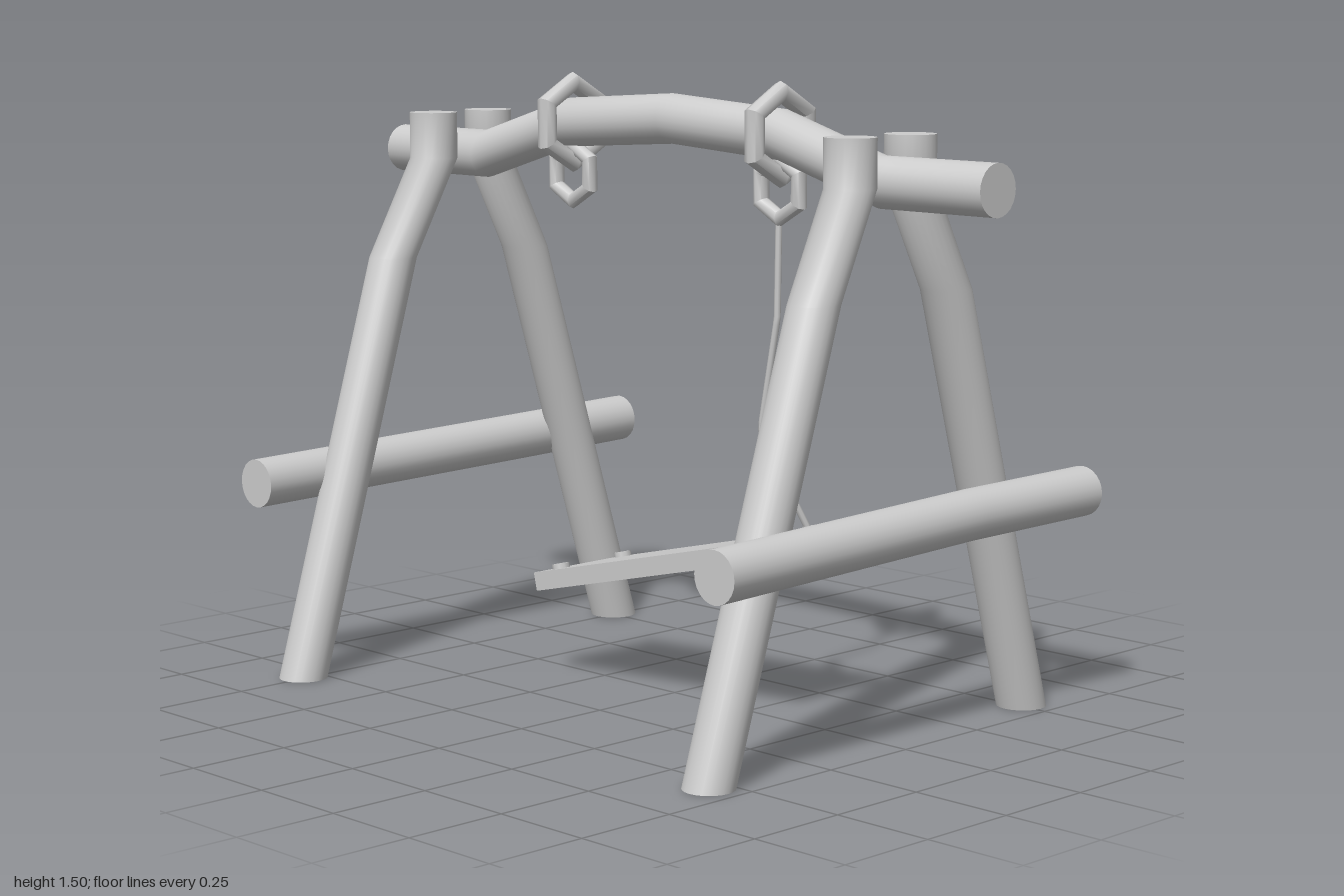
import * as THREE from 'three';
import { toCreasedNormals } from 'three/addons/utils/BufferGeometryUtils.js';

const material = new THREE.MeshStandardMaterial({ color: 0xcccccc });
const RADIUS = 0.06;

function addMesh(parent, name, geometry, x = 0, y = 0, z = 0) {
  const mesh = new THREE.Mesh(geometry, material);
  mesh.name = name;
  mesh.position.set(x, y, z);
  parent.add(mesh);
  return mesh;
}

// Bent log: a cylinder whose rings, all square to one axis, are moved onto the given points.
function logGeometry(axis, points) {
  const rows = points.length - 1;
  const geo = new THREE.CylinderGeometry(RADIUS, RADIUS, rows, 24, rows);
  if (axis === 'x') geo.rotateZ(-Math.PI / 2);
  if (axis === 'z') geo.rotateX(Math.PI / 2);
  const pos = geo.attributes.position;
  const v = new THREE.Vector3();
  for (let i = 0; i < pos.count; i++) {
    v.fromBufferAttribute(pos, i);
    const [x, y, z] = points[Math.round(v[axis] + rows / 2)];
    v[axis] = 0;
    pos.setXYZ(i, v.x + x, v.y + y, v.z + z);
  }
  return toCreasedNormals(geo, 0.7);
}

// Thin rope following straight runs between points.
function ropeGeometry(points) {
  const path = new THREE.CurvePath();
  const pts = points.map((p) => new THREE.Vector3(...p));
  for (let i = 1; i < pts.length; i++) path.add(new THREE.LineCurve3(pts[i - 1], pts[i]));
  return new THREE.TubeGeometry(path, 30, 0.008, 8);
}

function hexRing(radius, tube) {
  const geo = new THREE.TorusGeometry(radius, tube, 8, 6);
  geo.rotateZ(Math.PI / 2);
  return toCreasedNormals(geo, 0.9);
}

export function createModel() {
  const model = new THREE.Group();
  model.name = 'swing';

  // Top beam, arched in the middle
  addMesh(model, 'topBeam', logGeometry('x', [
    [-1, 1.285, 0], [-0.67, 1.285, 0], [-0.36, 1.377, 0], [0, 1.4, 0],
    [0.36, 1.377, 0], [0.67, 1.285, 0], [1, 1.285, 0],
  ]), 0, 0, 0.005);

  // Mirrored end frames: two bent legs and a cross log outside them
  for (const s of [-1, 1]) {
    const frame = new THREE.Group();
    frame.name = s > 0 ? 'leftFrame' : 'rightFrame';
    frame.position.x = -0.0475;
    model.add(frame);
    const side = (points) => points.map(([x, y, z]) => [s * x, y, z]);
    addMesh(frame, 'frontLeg', logGeometry('y', side([
      [0.715, 0, 0.55], [0.725, 1.03, 0.237], [0.713, 1.275, 0.11], [0.713, 1.39, 0.11],
    ])));
    addMesh(frame, 'backLeg', logGeometry('y', side([
      [0.715, 0, -0.512], [0.725, 1.03, -0.205], [0.722, 1.275, -0.08], [0.722, 1.39, -0.08],
    ])));
    addMesh(frame, 'crossLog', logGeometry('z', side([
      [0.803, 0.52, -0.62], [0.79, 0.512, -0.22], [0.795, 0.5, 0.2], [0.8, 0.488, 0.62],
    ])));
  }

  // Linked hexagonal rings hanging from the beam
  for (const x of [-0.355, 0.35]) {
    addMesh(model, 'beamRing', hexRing(0.098, 0.025), x, 1.377, 0.003).rotation.y = Math.PI / 2;
    addMesh(model, 'hangingRing', hexRing(0.069, 0.02), x, 1.253, 0.003);
  }

  // Rope on one side, forking to the two seat corners
  addMesh(model, 'rope', ropeGeometry([
    [0.347, 1.19, 0.003], [0.343, 0.95, 0.003], [0.293, 0.69, 0.003], [0.31, 0.61, 0.003],
  ]));
  for (const z of [-0.105, 0.105]) {
    addMesh(model, 'ropeFork', ropeGeometry([[0.297, 0.67, 0.003], [0.355, 0.425, z]]));
  }

  // Tilted seat plank with a peg near each corner
  const seat = new THREE.Group();
  seat.name = 'seat';
  seat.position.set(0.035, 0.337, -0.002);
  seat.rotation.z = 0.235;
  model.add(seat);
  addMesh(seat, 'seatPlank', new THREE.BoxGeometry(0.782, 0.046, 0.295));
  for (const x of [-0.335, 0.335]) {
    for (const z of [-0.105, 0.105]) {
      addMesh(seat, 'seatPeg', new THREE.CylinderGeometry(0.022, 0.022, 0.02, 10), x, 0.025, z);
    }
  }
  return model;
}
